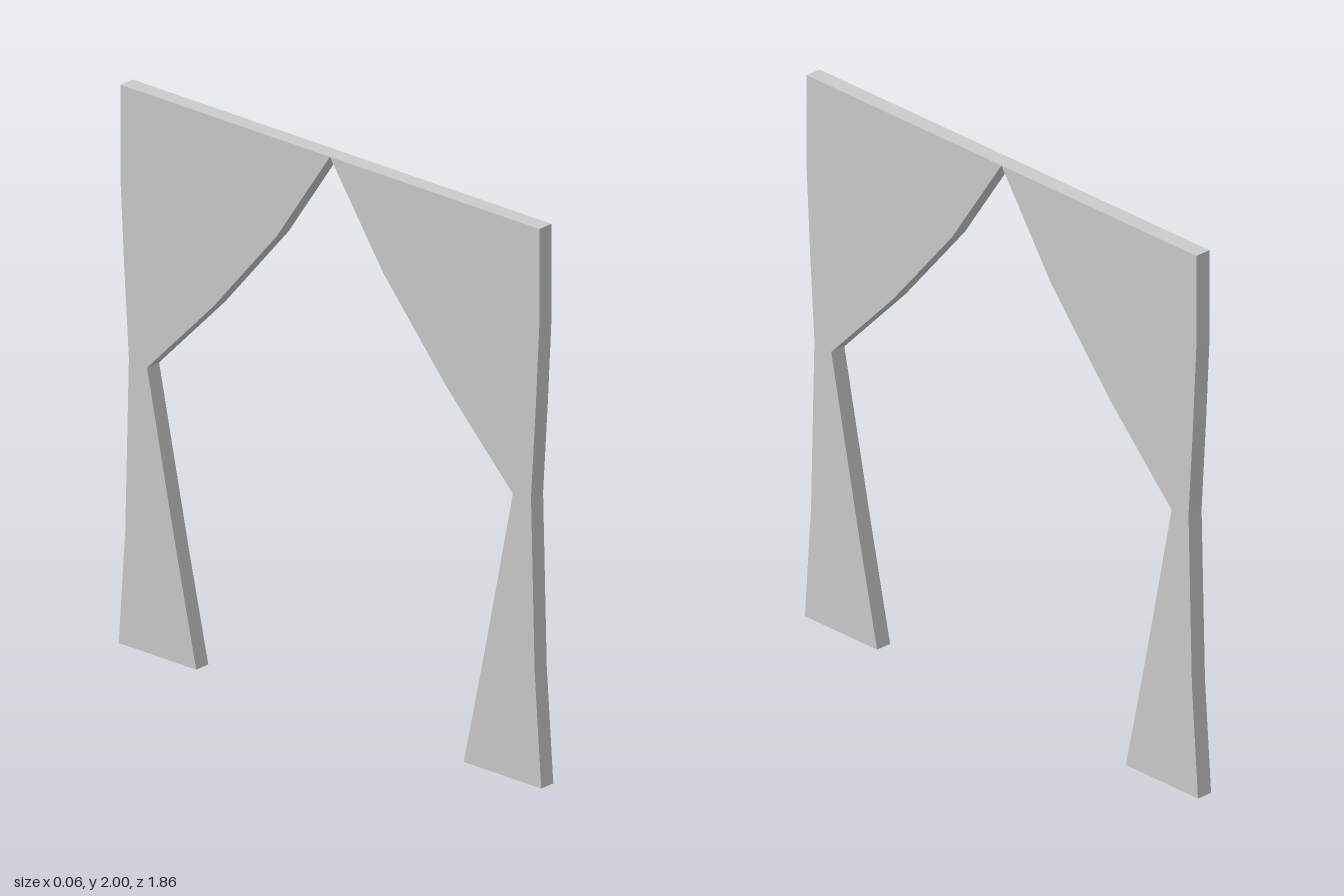
import * as THREE from 'three';

const THICKNESS = 0.06;

// Half outline as [distance from centre, height], from the top centre
// down the gathered inner edge, then back up the outer edge.
const OUTLINE = [
  [0, 2], [0.235, 1.65], [0.515, 1.32], [0.807, 1.02], [0.68, 0.41], [0.59, 0],
  [0.932, 0], [0.903, 0.41], [0.887, 1.03], [0.908, 1.36], [0.924, 1.66], [0.924, 2],
];

// Removes the triangles lying on the ground, leaving the hem open
function openHem(geometry) {
  const p = geometry.attributes.position;
  const kept = [];
  for (let i = 0; i < p.count; i += 3) {
    const top = Math.max(p.getY(i), p.getY(i + 1), p.getY(i + 2));
    if (top > 0.001) kept.push(i, i + 1, i + 2);
  }
  geometry.setIndex(kept);
  return geometry;
}

function createCurtain(name, side, material) {
  const shape = new THREE.Shape(OUTLINE.map(([z, y]) => new THREE.Vector2(side * z, y)));
  const geometry = new THREE.ExtrudeGeometry(shape, { depth: THICKNESS, bevelEnabled: false });
  geometry.translate(0, 0, -THICKNESS / 2);
  geometry.rotateY(-Math.PI / 2); // the curtain hangs in the z-y plane
  const mesh = new THREE.Mesh(openHem(geometry), material);
  mesh.name = name;
  return mesh;
}

export function createModel() {
  const group = new THREE.Group();
  group.name = 'curtains';
  const material = new THREE.MeshStandardMaterial({
    color: 0xcccccc, flatShading: true, side: THREE.DoubleSide,
  });
  // Two tied-back curtains meeting at the top centre
  group.add(createCurtain('frontCurtain', 1, material));
  group.add(createCurtain('backCurtain', -1, material));
  return group;
}
